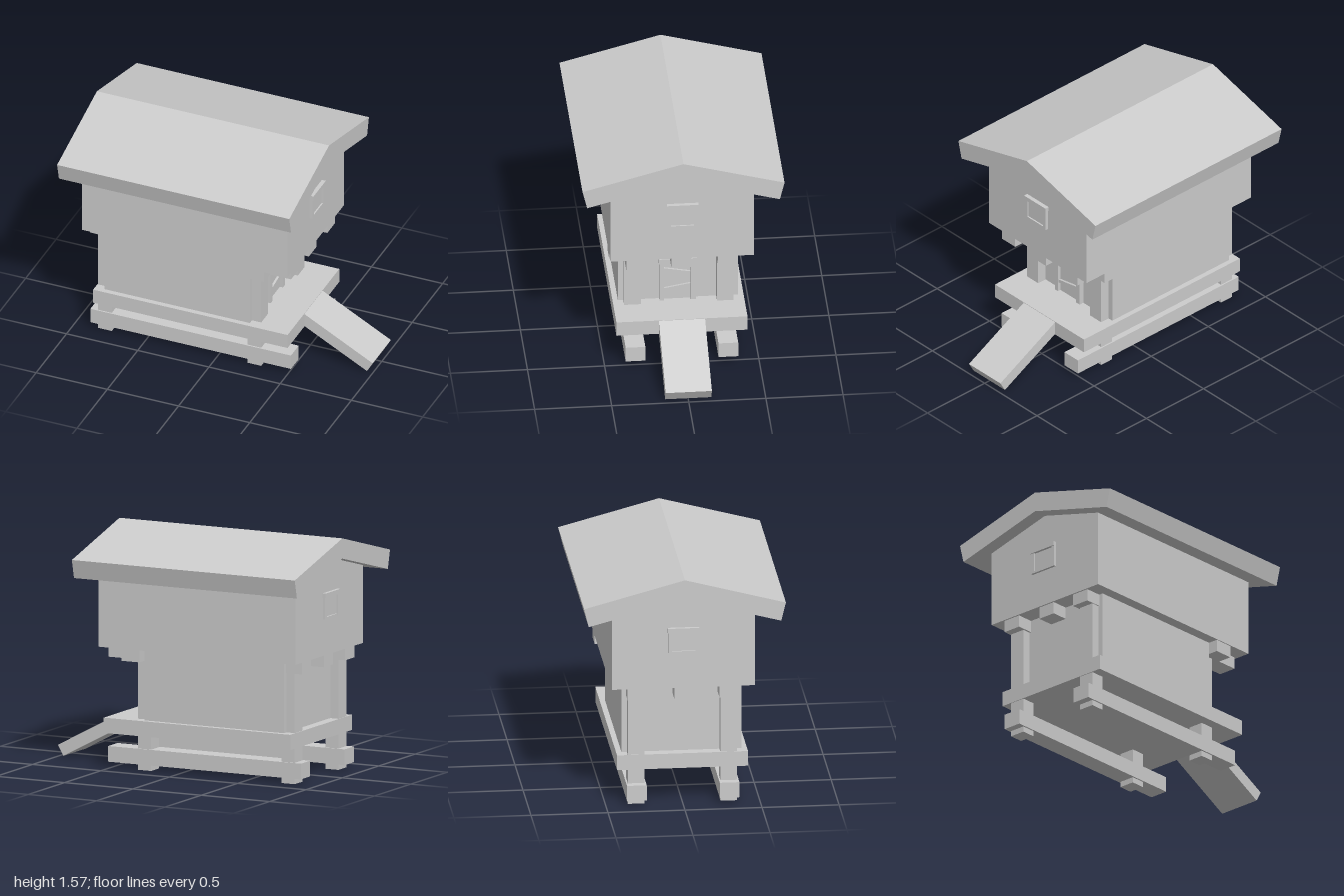
import * as THREE from 'three';

const material = new THREE.MeshStandardMaterial({ color: 0xcccccc, flatShading: true });

export function createModel() {
  const root = new THREE.Group();

  const add = (name, geometry, parent = root) => {
    const mesh = new THREE.Mesh(geometry, material);
    mesh.name = name;
    parent.add(mesh);
    return mesh;
  };

  // Box given by its limits on each axis
  const block = (name, [x0, x1], [y0, y1], [z0, z1], parent) => {
    const g = new THREE.BoxGeometry(x1 - x0, y1 - y0, z1 - z0);
    g.translate((x0 + x1) / 2, (y0 + y1) / 2, (z0 + z1) / 2);
    return add(name, g, parent);
  };

  const extrude = (points, depth) => new THREE.ExtrudeGeometry(
    new THREE.Shape(points.map(([a, b]) => new THREE.Vector2(a, b))),
    { depth, bevelEnabled: false });

  // Outline of [z, y] points drawn out along x
  const alongX = (name, points, x0, x1, parent) => {
    const g = extrude(points.map(([z, y]) => [-z, y]), x1 - x0);
    g.rotateY(Math.PI / 2).translate(x0, 0, 0);
    return add(name, g, parent);
  };

  // Roof and gabled upper storey
  alongX('roof', [[0, 1.57], [0.655, 1.395], [0.625, 1.272], [0, 1.437],
    [-0.625, 1.272], [-0.655, 1.395]], -1, 0.63);
  alongX('upperStorey', [[-0.465, 0.805], [0.465, 0.805], [0.465, 1.32],
    [0, 1.443], [-0.465, 1.32]], -0.905, 0.535);

  // Lower storey
  block('lowerStorey', [-0.78, 0.24], [0.33, 0.81], [-0.39, 0.39]);

  // Floor beams carrying the upper storey
  block('crossBeam', [0.24, 0.37], [0.725, 0.806], [-0.458, 0.458]);
  for (const z of [-0.298, 0.005, 0.298])
    block('floorBeam', [-0.895, 0.517], [0.725, 0.806], [z - 0.063, z + 0.063]);

  // Platform, skids and corner posts
  block('platform', [-0.845, 0.52], [0.235, 0.335], [-0.425, 0.425]);
  for (const side of [-1, 1]) {
    const z = side * 0.301;
    block('skid', [-0.89, 0.518], [0.037, 0.14], [z - 0.064, z + 0.064]);
    for (const x of [-0.792, 0.257])
      block('post', [x - 0.048, x + 0.048], [0, 0.76], [z - 0.054, z + 0.054]);
  }

  // Entrance ramp
  const ramp = extrude([[0.52, 0.24], [0.96, 0.005], [1, 0.075], [0.52, 0.332]], 0.3);
  ramp.translate(0, 0, -0.15);
  add('ramp', ramp);

  // Door: frame, leaf and two slanted braces
  const door = new THREE.Group();
  door.name = 'door';
  root.add(door);
  block('doorLeaf', [0.235, 0.25], [0.335, 0.62], [-0.09, 0.1], door);
  block('doorLintel', [0.235, 0.28], [0.613, 0.647], [-0.12, 0.127], door);
  block('doorJamb', [0.235, 0.272], [0.335, 0.615], [0.095, 0.123], door);
  block('doorJamb', [0.235, 0.272], [0.335, 0.615], [-0.113, -0.08], door);
  alongX('doorBrace', [[0.096, 0.55], [-0.082, 0.515], [-0.082, 0.54], [0.096, 0.573]], 0.235, 0.265, door);
  alongX('doorBrace', [[0.096, 0.4], [-0.082, 0.43], [-0.082, 0.453], [0.096, 0.422]], 0.235, 0.265, door);

  // Framed window in each gable
  for (const [wall, out] of [[0.535, 1], [-0.905, -1]]) {
    const win = new THREE.Group();
    win.name = 'window';
    root.add(win);
    const reach = (d) => [wall - 0.005, wall + out * d].sort((a, b) => a - b);
    block('windowPane', reach(0.01), [1.05, 1.195], [-0.08, 0.08], win);
    block('windowLintel', reach(0.028), [1.188, 1.218], [-0.104, 0.1], win);
    block('windowSill', reach(0.02), [1.046, 1.06], [-0.08, 0.08], win);
    for (const side of [-1, 1]) {
      const z = side * 0.088;
      block('windowJamb', reach(0.022), [1.046, 1.19], [z - 0.012, z + 0.012], win);
    }
  }

  return root;
}
